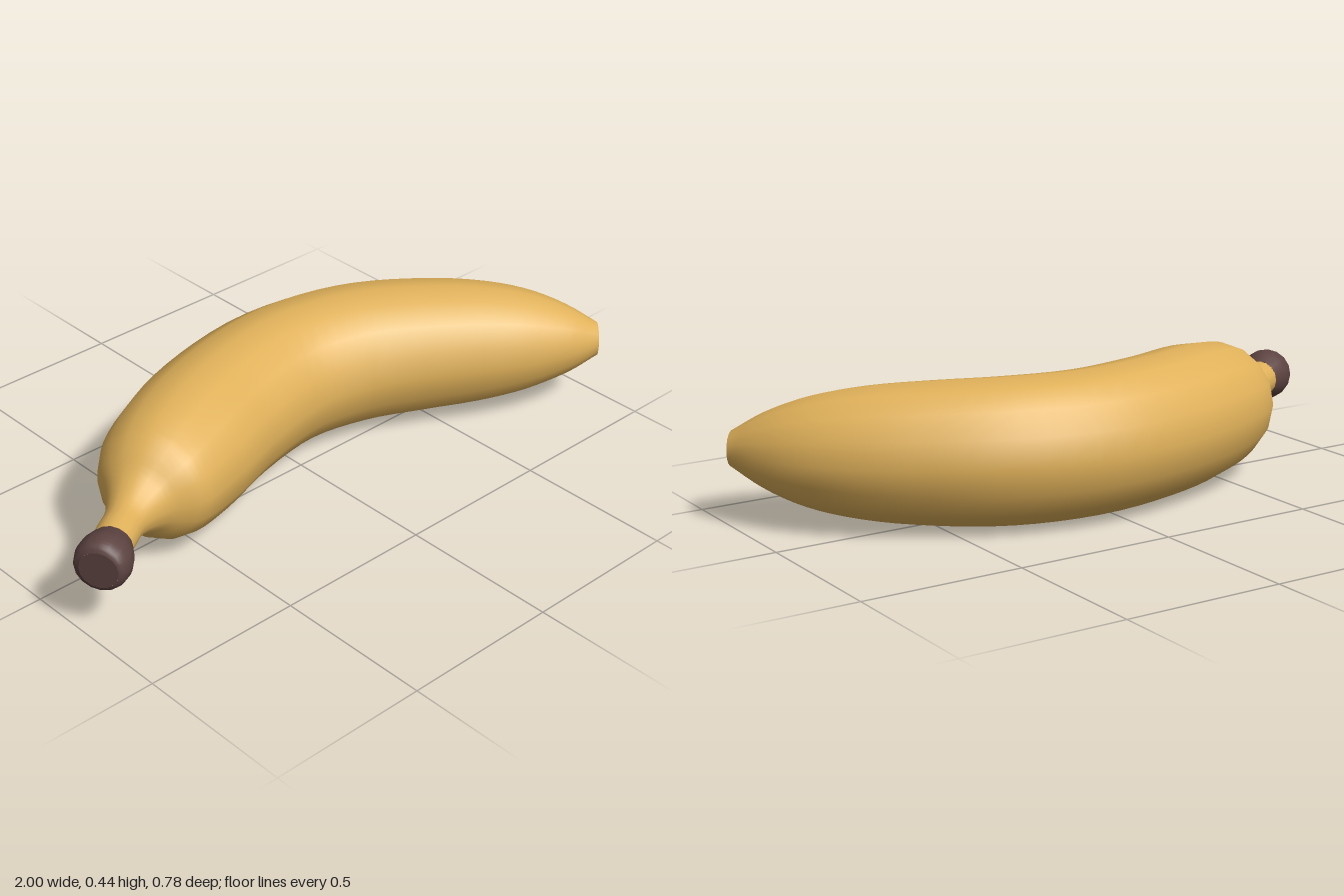
import * as THREE from 'three';

const SIDES = 16;
const MID_Y = 0.22;
const skin = new THREE.MeshStandardMaterial({ color: 0xe0b15a });
const dark = new THREE.MeshStandardMaterial({ color: 0x5c4341 });

// Sweeps a round section along stations of [x, z, radius] in the level plane.
// The radius rides along in the curve's y, so it is smoothed with the path.
function sweep(name, stations, steps, material) {
  const curve = new THREE.CatmullRomCurve3(stations.map(([x, z, r]) => new THREE.Vector3(x, r, z)));
  const positions = [];
  const index = [];
  for (let i = 0; i <= steps; i++) {
    const p = curve.getPoint(i / steps);
    const t = curve.getTangent(i / steps).setY(0).normalize();
    for (let j = 0; j < SIDES; j++) {
      const a = (j / SIDES) * Math.PI * 2;
      const c = Math.cos(a) * p.y;
      positions.push(p.x + t.z * c, MID_Y + Math.sin(a) * p.y, p.z - t.x * c);
      if (i === steps) continue;
      const k = (j + 1) % SIDES;
      const row = i * SIDES;
      const next = row + SIDES;
      index.push(row + j, row + k, next + j, row + k, next + k, next + j);
    }
  }
  const geometry = new THREE.BufferGeometry();
  geometry.setAttribute('position', new THREE.Float32BufferAttribute(positions, 3));
  geometry.setIndex(index);
  geometry.computeVertexNormals();
  const mesh = new THREE.Mesh(geometry, material);
  mesh.name = name;
  return mesh;
}

// Flat disc closing an end, facing along (dx, dz).
function disc(name, [x, z, r], dx, dz) {
  const mesh = new THREE.Mesh(new THREE.CircleGeometry(r, SIDES), dark);
  mesh.name = name;
  mesh.position.set(x, MID_Y, z);
  mesh.lookAt(x + dx, MID_Y, z + dz);
  return mesh;
}

export function createModel() {
  const group = new THREE.Group();
  group.name = 'banana';

  // Curved fruit with its narrow neck, from stem to tip
  const tip = [0.965, 0.347, 0.053];
  const body = [
    [-0.89, 0.19, 0.06], [-0.83, 0.15, 0.06], [-0.77, 0.113, 0.063], [-0.7, 0.075, 0.1],
    [-0.65, 0.05, 0.15], [-0.595, 0.026, 0.184], [-0.43, -0.048, 0.215], [-0.2, -0.13, 0.22],
    [0.07, -0.172, 0.22], [0.31, -0.125, 0.22], [0.5, -0.025, 0.213], [0.665, 0.09, 0.196],
    [0.79, 0.19, 0.164], [0.89, 0.28, 0.112], tip,
  ];
  group.add(sweep('fruitBody', body, 56, skin));
  group.add(disc('blossomTip', tip, 0.73, 0.69));

  // Swollen dark cap on the stem
  const stemEnd = [-0.97, 0.246, 0.058];
  const cap = [
    [-0.867, 0.176, 0.061], [-0.885, 0.188, 0.069], [-0.915, 0.209, 0.081],
    [-0.945, 0.229, 0.081], [-0.962, 0.241, 0.073], stemEnd,
  ];
  group.add(sweep('stemCap', cap, 12, dark));
  group.add(disc('stemEnd', stemEnd, -0.84, 0.54));
  // Inner face of the cap around the neck
  group.add(disc('stemCapCollar', cap[0], 0.84, -0.54));

  return group;
}
